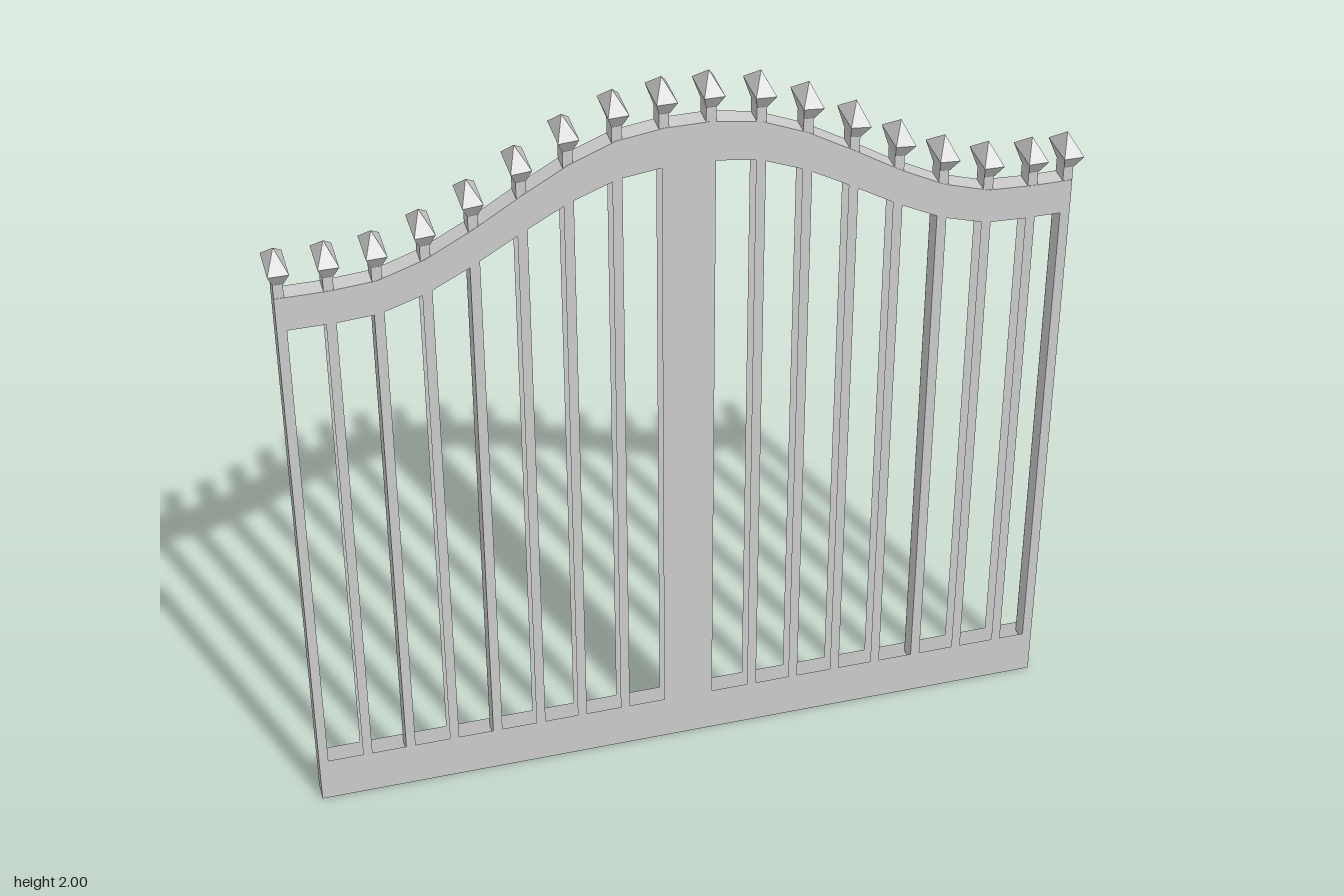
import * as THREE from 'three';

const HALF_DEPTH = 0.025;
const HALF_BAR = 0.012;
const LEFT_END = -0.974;
const RIGHT_END = 0.971;
const RAIL_HEIGHT = 0.127;
const BAR_X = [-0.962, -0.847, -0.734, -0.619, -0.504, -0.389, -0.278, -0.162, -0.05,
  0.062, 0.183, 0.297, 0.413, 0.526, 0.64, 0.755, 0.869, 0.959];
const POST_LEFT = 8; // the centre post fills the space between this bar and the next
const SOLID_BARS = [0, 2, 4, 14, 17]; // the other bars are open between front and back sheet

// 1 on the flat crown, easing to 0 at the low outer ends
function rise(x) {
  const t = THREE.MathUtils.clamp((Math.abs(x - 0.005) - 0.055) / 0.765, 0, 1);
  return (1 + Math.cos(Math.PI * t)) / 2;
}
const railTop = (x) => 1.566 + 0.307 * rise(x);
const railBottom = (x) => railTop(x) - 0.091 - 0.015 * rise(x);
const slope = (x) => (railTop(x + 0.01) - railTop(x - 0.01)) / 0.02;

export function createModel() {
  const gate = new THREE.Group();
  gate.name = 'gate';
  const material = new THREE.MeshStandardMaterial({ color: 0xcccccc, flatShading: true, side: THREE.DoubleSide });

  function add(name, geometry, parent = gate) {
    const mesh = new THREE.Mesh(geometry, material);
    mesh.name = name;
    parent.add(mesh);
    return mesh;
  }

  // Outline of the panel, counter-clockwise, with the arch faceted at the bars
  const archX = [LEFT_END, ...BAR_X.slice(1, -1), RIGHT_END].reverse();
  const outline = [
    new THREE.Vector2(LEFT_END, 0),
    new THREE.Vector2(RIGHT_END, 0),
    ...archX.map((x) => new THREE.Vector2(x, railTop(x))),
  ];

  // Openings between the bars leave the rails, bars and centre post standing
  const panel = new THREE.Shape(outline);
  for (let i = 0; i < BAR_X.length - 1; i++) {
    if (i === POST_LEFT) continue;
    const x0 = i === POST_LEFT + 1 ? 0.074 : BAR_X[i] + HALF_BAR;
    const x1 = i === POST_LEFT - 1 ? -0.056 : BAR_X[i + 1] - HALF_BAR;
    panel.holes.push(new THREE.Path([
      new THREE.Vector2(x0, RAIL_HEIGHT),
      new THREE.Vector2(x0, railBottom(x0)),
      new THREE.Vector2(x1, railBottom(x1)),
      new THREE.Vector2(x1, RAIL_HEIGHT),
    ]));
  }
  const sheet = new THREE.ShapeGeometry(panel);
  add('frontPanel', sheet).position.z = HALF_DEPTH;
  const back = sheet.clone();
  back.index.array.reverse(); // turn the faces to the back
  back.computeVertexNormals();
  add('backPanel', back).position.z = -HALF_DEPTH;

  // Rim closing the outer edge between the two sheets
  const rimPoints = [];
  const rimIndex = [];
  outline.forEach((p, i) => {
    rimPoints.push(new THREE.Vector3(p.x, p.y, HALF_DEPTH), new THREE.Vector3(p.x, p.y, -HALF_DEPTH));
    const a = 2 * i;
    const b = 2 * ((i + 1) % outline.length);
    rimIndex.push(a, a + 1, b, b, a + 1, b + 1);
  });
  const rim = new THREE.BufferGeometry().setFromPoints(rimPoints);
  rim.setIndex(rimIndex);
  rim.computeVertexNormals();
  add('outerRim', rim);

  // Four-sided spearhead, deeper than it is wide
  const r = Math.SQRT1_2;
  const profile = [[0, 0], [r * 0.5, 0], [r, 0.04], [0, 0.084]];
  const spear = new THREE.LatheGeometry(profile.map(([x, y]) => new THREE.Vector2(x, y)), 4);
  spear.rotateY(Math.PI / 4);
  spear.scale(0.05, 1, 0.108);

  // Bar ends rise above the rail and carry finials leaning a little with the arch
  const bars = new THREE.Group();
  bars.name = 'bars';
  const finials = new THREE.Group();
  finials.name = 'finials';
  gate.add(bars, finials);
  BAR_X.forEach((x, i) => {
    const solid = SOLID_BARS.includes(i);
    const top = railTop(x) + 0.042;
    const bottom = solid ? 0.1 : railTop(x) - 0.03;
    const bar = add(solid ? 'solidBar' : 'barEnd',
      new THREE.BoxGeometry(2 * HALF_BAR, top - bottom, 2 * HALF_DEPTH - 0.002), bars);
    bar.position.set(x, (top + bottom) / 2, 0);
    const finial = add('finial', spear, finials);
    finial.position.set(x, top - 0.003, 0);
    finial.rotation.z = 0.15 * slope(x);
  });

  return gate;
}
